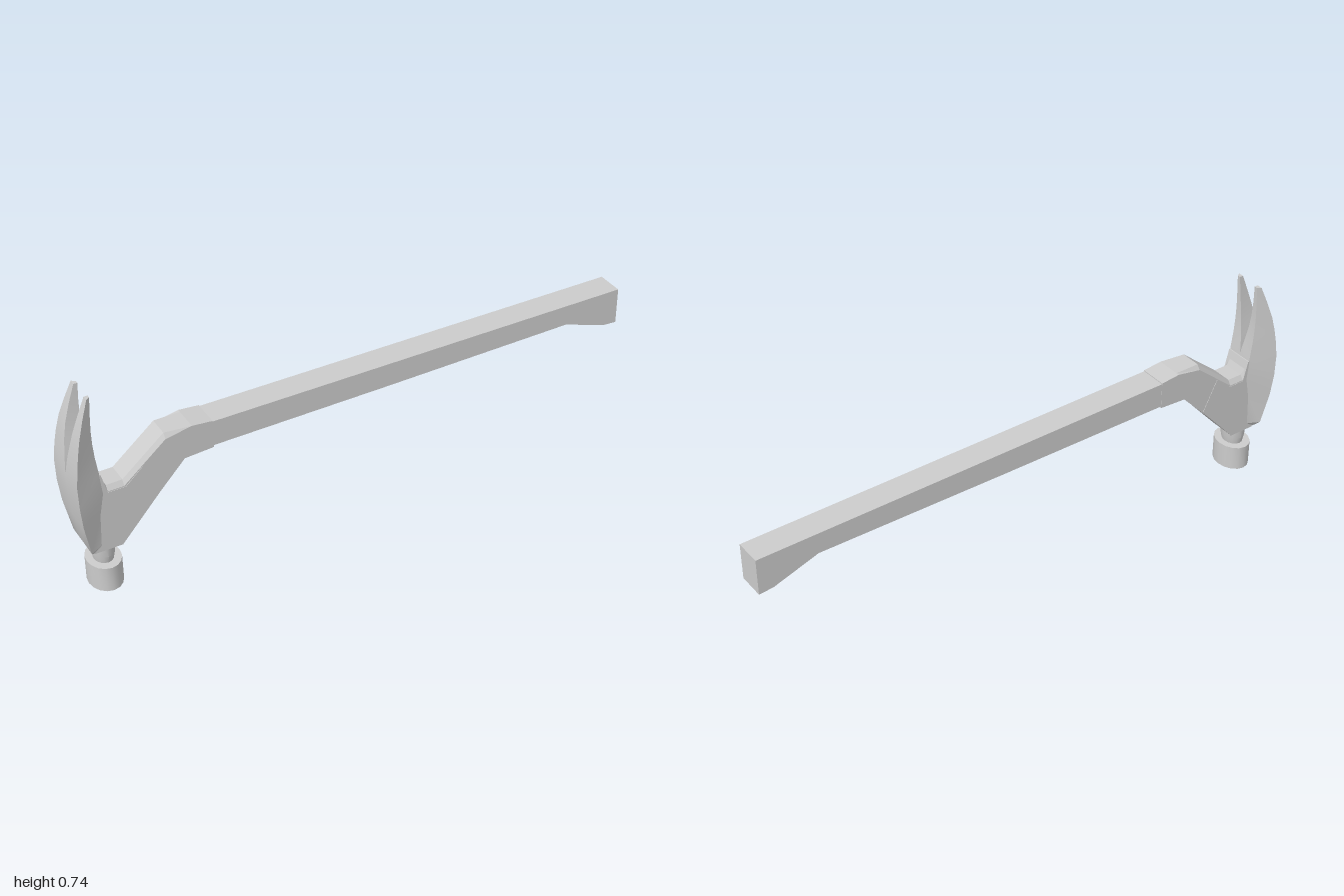
import * as THREE from 'three';
import { toCreasedNormals } from 'three/addons/utils/BufferGeometryUtils.js';

const material = new THREE.MeshStandardMaterial({ color: 0xcccccc });

function part(name, geometry) {
  const mesh = new THREE.Mesh(geometry, material);
  mesh.name = name;
  return mesh;
}

// Side outline in x/y, extruded symmetrically about z = 0
function slab(points, halfWidth, steps = 1) {
  const shape = new THREE.Shape(points.map(([x, y]) => new THREE.Vector2(x, y)));
  const geometry = new THREE.ExtrudeGeometry(shape, { depth: halfWidth * 2, steps, bevelEnabled: false });
  return geometry.translate(0, 0, -halfWidth);
}

// Bent neck and collar, with the upper edges of the bend chamfered
function neckGeometry() {
  const geometry = slab([
    [-0.95, 0.165], [-0.86, 0.165], [-0.63, 0.408], [-0.53, 0.414], [-0.53, 0.513],
    [-0.6, 0.52], [-0.69, 0.52], [-0.835, 0.398], [-0.89, 0.398], [-0.91, 0.44], [-0.95, 0.44],
  ], 0.048, 3);
  const p = geometry.attributes.position;
  for (let i = 0; i < p.count; i++) {
    const x = p.getX(i), y = p.getY(i), z = p.getZ(i);
    const onBend = x > -0.9 && x < -0.62 && y > 0.46 + (x + 0.63) * 1.03;
    if (Math.abs(z) < 0.04) p.setZ(i, Math.sign(z) * 0.036);
    else if (onBend) p.setY(i, y - 0.017);
  }
  geometry.computeVertexNormals();
  return geometry;
}

// One half of the claw, lofted upwards; side is +1 or -1 in z
function clawGeometry(side) {
  // y, outer x, inner x, outer half width, inner half width, half gap
  const sections = [
    [0.165, -0.955, -0.925, 0.05, 0.048, 0],
    [0.185, -0.968, -0.925, 0.07, 0.049, 0],
    [0.3, -0.99, -0.92, 0.083, 0.049, 0],
    [0.38, -0.998, -0.905, 0.088, 0.049, 0],
    [0.46, -1, -0.913, 0.088, 0.049, 0],
    [0.52, -0.993, -0.921, 0.086, 0.049, 0.01],
    [0.57, -0.985, -0.925, 0.082, 0.049, 0.02],
    [0.62, -0.974, -0.926, 0.077, 0.049, 0.027],
    [0.68, -0.955, -0.924, 0.067, 0.049, 0.033],
    [0.74, -0.933, -0.92, 0.057, 0.048, 0.037],
  ];
  const positions = [], index = [];
  const tri = (a, b, c) => index.push(...(side > 0 ? [a, b, c] : [a, c, b]));
  const quad = (a, b, c, d) => { tri(a, b, c); tri(a, c, d); };
  sections.forEach(([y, xo, xi, wo, wi, gap], k) => {
    for (const [x, z] of [[xo, wo], [xi, wi], [xi, gap], [xo, gap]]) positions.push(x, y, z * side);
    if (k === 0) return;
    const a = (k - 1) * 4, b = k * 4;
    for (let i = 0; i < 4; i++) {
      const j = (i + 1) % 4;
      quad(a + i, a + j, b + j, b + i);
    }
  });
  const top = (sections.length - 1) * 4;
  quad(3, 2, 1, 0);
  quad(top, top + 1, top + 2, top + 3);
  const geometry = new THREE.BufferGeometry();
  geometry.setAttribute('position', new THREE.Float32BufferAttribute(positions, 3));
  geometry.setIndex(index);
  return toCreasedNormals(geometry, 0.4);
}

// Turned part, flattened a little in x to an oval
function turned(profile) {
  const points = profile.map(([r, y]) => new THREE.Vector2(r, y));
  const geometry = new THREE.LatheGeometry(points, 16);
  geometry.scale(0.79, 1, 1).translate(-0.906, 0, 0);
  return toCreasedNormals(geometry, 0.5);
}

export function createModel() {
  const model = new THREE.Group();
  model.name = 'clawHammer';

  // Straight grip with a flared heel at the end
  model.add(part('handle', slab([
    [-0.56, 0.42], [0.1, 0.423], [0.79, 0.43], [0.95, 0.376], [1, 0.372],
    [1, 0.503], [0.1, 0.507], [-0.56, 0.51],
  ], 0.047)));

  model.add(part('neck', neckGeometry()));

  // Flat-sided block wrapping the end of the neck
  model.add(part('headBlock', slab([
    [-0.95, 0.162], [-0.856, 0.162], [-0.717, 0.318], [-0.772, 0.43], [-0.83, 0.378],
    [-0.89, 0.378], [-0.908, 0.45], [-0.95, 0.45],
  ], 0.0495)));

  for (const side of [1, -1]) {
    model.add(part(side > 0 ? 'frontClaw' : 'backClaw', clawGeometry(side)));
  }

  // Striking end
  model.add(part('throat', turned([[0.04, 0.1], [0.047, 0.13], [0.049, 0.17]])));
  model.add(part('strikingFace', turned([
    [0, 0], [0.048, 0], [0.071, 0.014], [0.071, 0.104], [0, 0.104],
  ])));
  return model;
}
